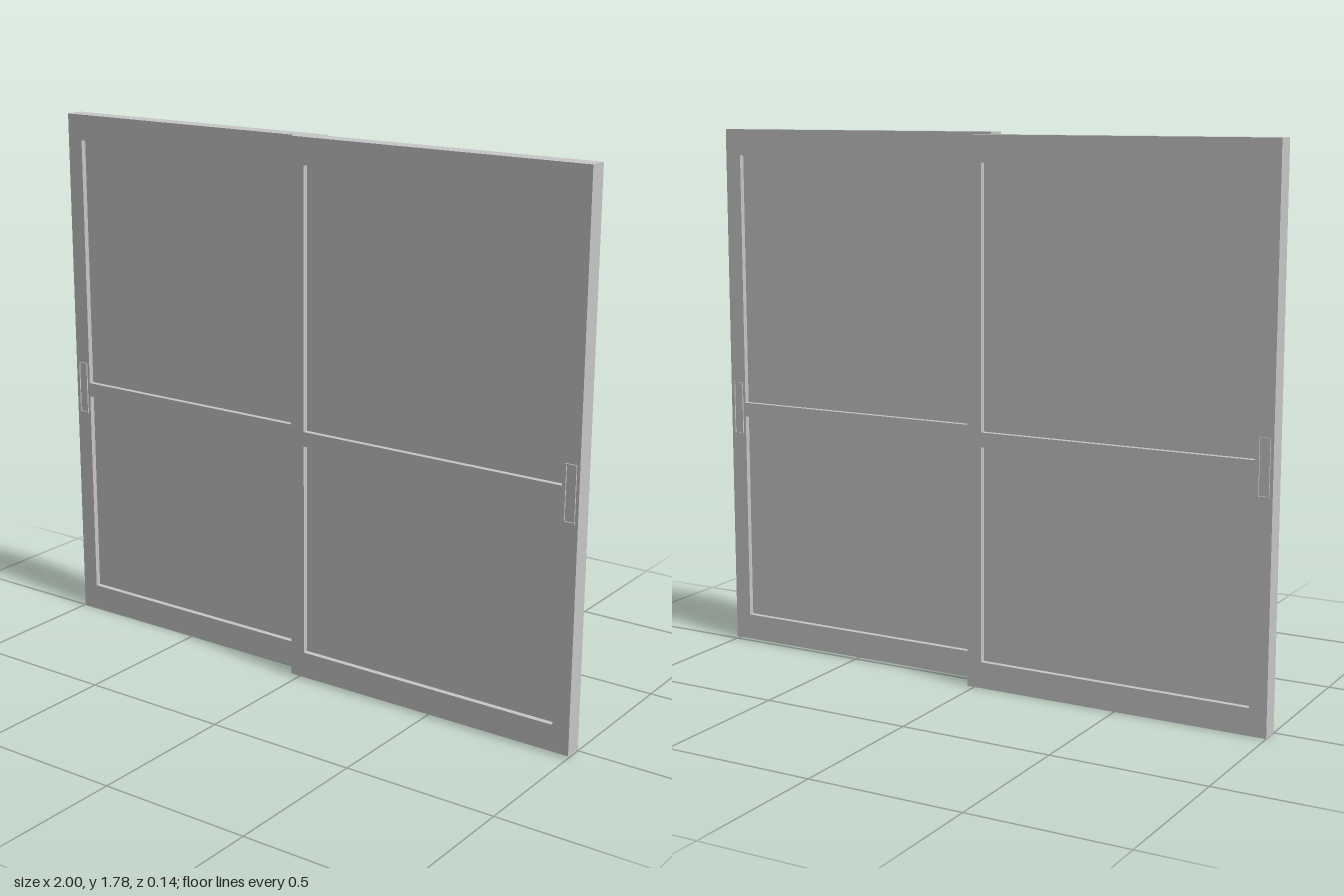
import * as THREE from 'three';

const grey = new THREE.MeshStandardMaterial({ color: 0xc7c7c7 });
grey.name = 'lightGrey';

const W = 1.025, H = 1.77, T = 0.062; // one sliding panel

// Rectangle traced as a shape or as a hole
function rect(target, x0, y0, x1, y1) {
  target.moveTo(x0, y0);
  target.lineTo(x1, y0);
  target.lineTo(x1, y1);
  target.lineTo(x0, y1);
  target.closePath();
  return target;
}

// Flat slab with rectangular openings, centred in depth
function slab(name, outer, openings, depth) {
  const shape = rect(new THREE.Shape(), ...outer);
  for (const o of openings) shape.holes.push(rect(new THREE.Path(), ...o));
  const geo = new THREE.ExtrudeGeometry(shape, { depth, bevelEnabled: false });
  geo.translate(0, 0, -depth / 2);
  const mesh = new THREE.Mesh(geo, grey);
  mesh.name = name;
  return mesh;
}

function makePanel(name) {
  const panel = new THREE.Group();
  panel.name = name;

  // Frame with a lower and an upper opening
  const openings = [
    [0.05, 0.087, W - 0.057, 0.792],
    [0.05, 0.84, W - 0.057, 1.684],
  ];
  panel.add(slab('frame', [0, 0, W, H], openings, T));

  // Recessed panes, visible from both sides
  openings.forEach(([x0, y0, x1, y1], i) => {
    const pane = new THREE.Mesh(new THREE.BoxGeometry(x1 - x0, y1 - y0, 0.026), grey);
    pane.name = i ? 'upperPane' : 'lowerPane';
    pane.position.set((x0 + x1) / 2, (y0 + y1) / 2, 0);
    panel.add(pane);
  });

  // Thin raised rim of the finger pull, standing proud of both faces
  const hx = W - 0.048, hy = 0.73;
  panel.add(slab('fingerPull',
    [hx, hy, hx + 0.038, hy + 0.18],
    [[hx + 0.005, hy + 0.005, hx + 0.033, hy + 0.175]], T + 0.009));
  return panel;
}

export function createModel() {
  const model = new THREE.Group();
  model.name = 'slidingDoors';

  // Front panel on the left, rear panel turned to face the other way
  const front = makePanel('frontPanel');
  front.position.set(1 - W, 0.007, 0.032);
  const rear = makePanel('rearPanel');
  rear.rotation.y = Math.PI;
  rear.position.set(W - 1, 0, -0.032);

  model.add(front, rear);
  return model;
}
